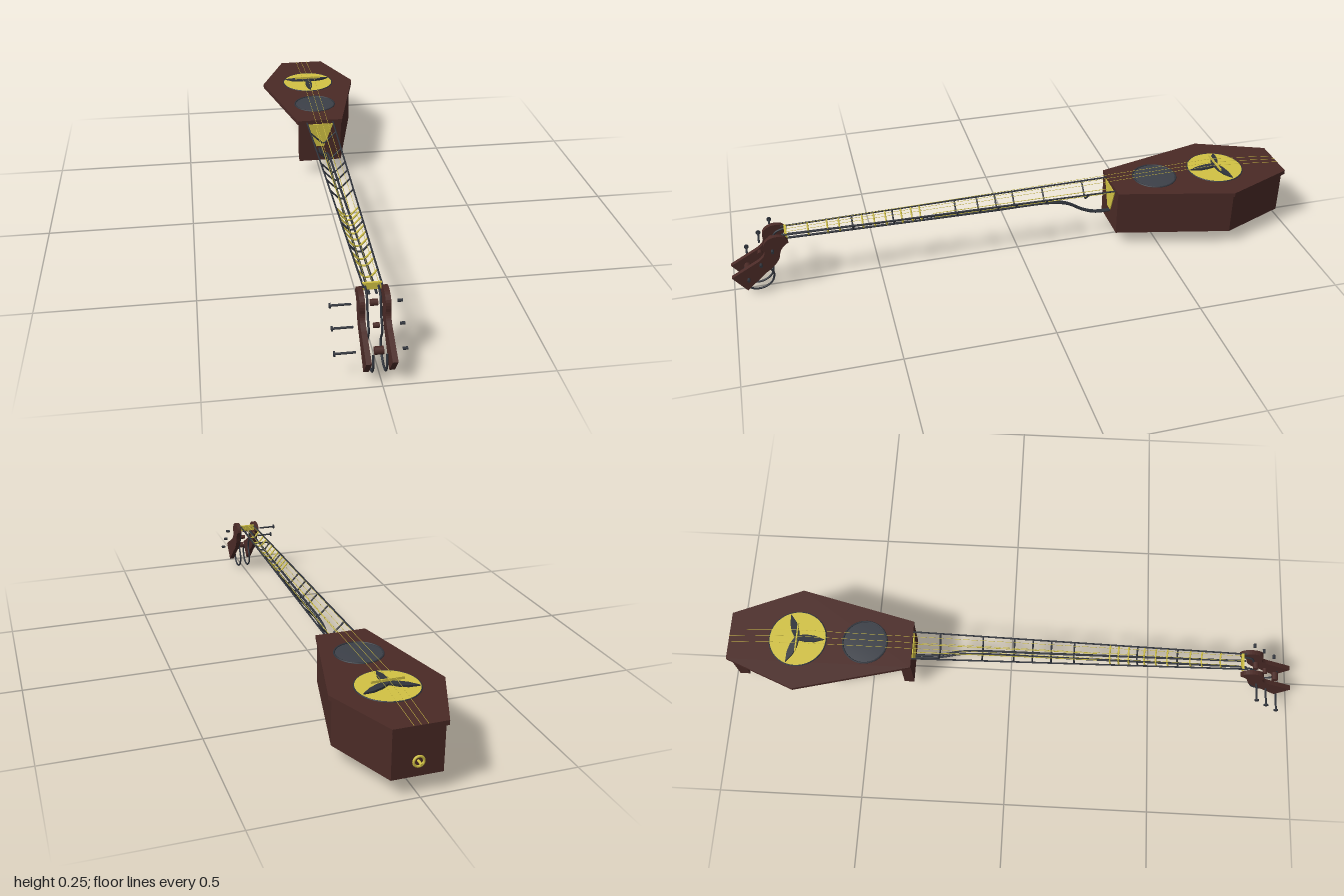
import * as THREE from 'three';

const mat = (color) => new THREE.MeshStandardMaterial({ color, side: THREE.DoubleSide });
const WOOD = mat(0x4a2a26), BRASS = mat(0xd2c244), IRON = mat(0x30343c), GRILLE = mat(0x3c4048);
const V = (x, y, z) => new THREE.Vector3(x, y, z);

export function createModel() {
  const root = new THREE.Group();
  const add = (name, geo, material, x = 0, y = 0, z = 0) => {
    const m = new THREE.Mesh(geo, material);
    m.name = name;
    m.position.set(x, y, z);
    root.add(m);
    return m;
  };
  const box = (name, material, w, h, d, x, y, z) =>
    add(name, new THREE.BoxGeometry(w, h, d), material, x, y, z);
  // Straight round bar between two points
  const rod = (name, material, a, b, r, sides = 8) => {
    const m = add(name, new THREE.CylinderGeometry(r, r, a.distanceTo(b), sides), material);
    m.position.copy(a).lerp(b, 0.5);
    m.quaternion.setFromUnitVectors(V(0, 1, 0), b.clone().sub(a).normalize());
    return m;
  };
  const tube = (name, material, pts, r) =>
    add(name, new THREE.TubeGeometry(new THREE.CatmullRomCurve3(pts), 60, r, 8), material);
  const shapeOf = (pts) => new THREE.Shape(pts.map(([a, b]) => new THREE.Vector2(a, b)));
  const extrude = (shape, depth) => new THREE.ExtrudeGeometry(shape, { depth, bevelEnabled: false, curveSegments: 8 });
  const lathe = (pts) => new THREE.LatheGeometry(pts.map(([r, y]) => new THREE.Vector2(r, y)), 40);

  // Six-sided top board
  const outline = [[-0.085, 0.345], [0.085, 0.345], [0.183, 0.745], [0.085, 0.985], [-0.085, 0.985], [-0.183, 0.745]];
  add('topBoard', extrude(shapeOf(outline), 0.015).rotateX(-Math.PI / 2), WOOD, 0, 0.207, 0);

  // End blocks, and an angled wall on the left side only
  box('frontPanel', WOOD, 0.16, 0.152, 0.035, 0, 0.131, -0.3625);
  box('backPanel', WOOD, 0.16, 0.152, 0.035, 0, 0.131, -0.9575);
  const wall = [[0.08, 0.345], [0.173, 0.745], [0.08, 0.975], [0.055, 0.945], [0.138, 0.743], [0.05, 0.37]];
  add('sideWall', extrude(shapeOf(wall), 0.152).rotateX(-Math.PI / 2), WOOD, 0, 0.055, 0);

  // Brass plate on the front block
  const plate = shapeOf([[-0.05, 0.207], [0.05, 0.207], [0.015, 0.115], [-0.015, 0.115]]);
  add('frontPlate', extrude(plate, 0.003), BRASS, 0, 0, -0.345);

  // Brass disc with a three-bladed dark star
  add('brassDisc', new THREE.CylinderGeometry(0.098, 0.098, 0.003, 48), BRASS, 0, 0.2225, -0.745);
  const ring = (name, r, t, z) => add(name, new THREE.TorusGeometry(r, t, 8, 48).rotateX(Math.PI / 2), IRON, 0, 0.222, z);
  ring('discRim', 0.099, 0.0025, -0.745);
  const blade = shapeOf([[0, -0.008], [0.03, -0.013], [0.06, -0.011], [0.094, 0],
    [0.06, 0.011], [0.03, 0.013], [0, 0.008]]);
  for (const angle of [-90, 20, 160]) {
    const geo = extrude(blade, 0.007);
    // The blades slope down towards the rim
    const p = geo.attributes.position;
    for (let i = 0; i < p.count; i++) p.setZ(i, p.getZ(i) + 0.004 * (1 - p.getX(i) / 0.05));
    geo.rotateZ(THREE.MathUtils.degToRad(angle)).rotateX(-Math.PI / 2);
    geo.computeVertexNormals();
    add('starBlade', geo, IRON, 0, 0.225, -0.745);
  }
  box('bridge', BRASS, 0.105, 0.008, 0.004, 0, 0.242, -0.745);

  // Round grille with a brass bowl below it
  add('grille', lathe([[0.076, 0], [0.05, 0.002], [0.02, 0.003], [0, 0.003]]), GRILLE, 0, 0.222, -0.51);
  ring('grilleRim', 0.077, 0.003, -0.51);
  add('bowl', lathe([[0, 0.102], [0.03, 0.105], [0.052, 0.117], [0.068, 0.145], [0.078, 0.19], [0.092, 0.206]]),
    BRASS, 0, 0, -0.51);

  // Inner bar and strap button
  rod('innerBar', IRON, V(0, 0.11, -0.36), V(0, 0.11, -0.96), 0.005);
  rod('buttonStem', BRASS, V(0, 0.105, -0.97), V(0, 0.105, -1), 0.004);
  add('buttonRing', new THREE.TorusGeometry(0.016, 0.004, 8, 24), BRASS, 0, 0.105, -0.98);

  // Open neck: two upper rails over a paired spine that closes up at the body
  const railX = (z) => 0.028 + (0.8 - z) * 0.019;
  const spineX = (z) => 0.004 + (z + 0.35) * 0.006;
  const spineY = (z) => 0.19 - (0.8 - z) * 0.018;
  for (const s of [-1, 1]) {
    rod('upperRail', IRON, V(s * railX(-0.345), 0.213, -0.345), V(s * railX(0.82), 0.213, 0.82), 0.003);
    tube('lowerSpine', IRON, [[0.105, -0.35], [0.107, -0.29], [0.125, -0.24], [0.158, -0.185], [0.173, -0.12],
      [0.177, 0.1], [0.183, 0.45], [0.19, 0.82]].map(([y, z]) => V(s * spineX(z), y, z)), 0.004);
    rod('trussRod', BRASS, V(s * 0.015, 0.185, -0.35), V(s * 0.012, 0.188, 0.3), 0.0013, 6);
  }
  // Bent rungs dipping from the rails to the spine
  const rung = (z, material, r) => {
    const w = railX(z), c = spineX(z), y = spineY(z);
    rod('rungBottom', material, V(-c, y, z), V(c, y, z), r, 6);
    for (const s of [-1, 1]) rod('rungArm', material, V(s * w, 0.213, z), V(s * c, y, z), r, 6);
  };
  for (const z of [-0.25, -0.1, 0.01, 0.075, 0.14, 0.22, 0.44, 0.58]) rung(z, IRON, 0.003);
  for (const z of [0.345, 0.375, 0.41, 0.465, 0.505, 0.545, 0.625, 0.665, 0.73]) rung(z, BRASS, 0.003);
  box('nut', BRASS, 0.056, 0.022, 0.008, 0, 0.207, 0.805);

  // Strings over the bridge to the tail
  for (const x of [-0.018, 0, 0.018]) {
    rod('string', BRASS, V(x, 0.219, 0.805), V(x * 1.3, 0.247, -0.745), 0.0007, 5);
    rod('tailString', BRASS, V(x * 1.3, 0.247, -0.745), V(x * 1.2, 0.223, -0.985), 0.0007, 5);
  }

  // Curved headstock cheeks
  const cheek = new THREE.Shape();
  cheek.moveTo(0.8, 0.19);
  cheek.quadraticCurveTo(0.805, 0.222, 0.845, 0.218);
  cheek.quadraticCurveTo(0.89, 0.21, 0.882, 0.165);
  cheek.quadraticCurveTo(0.882, 0.14, 0.92, 0.122);
  cheek.lineTo(1, 0.078);
  cheek.lineTo(0.955, 0.02);
  cheek.lineTo(0.885, 0.082);
  cheek.quadraticCurveTo(0.835, 0.115, 0.832, 0.15);
  cheek.quadraticCurveTo(0.825, 0.178, 0.8, 0.19);
  for (const x of [-0.032, 0.042]) add('headstockCheek', extrude(cheek, 0.016).rotateY(-Math.PI / 2), WOOD, x, 0, 0);

  // Inner rods ending in a loop below the headstock
  for (const x of [-0.021, 0.018]) {
    tube('loopRod', IRON, [[0.21, 0.8], [0.195, 0.84], [0.14, 0.86], [0.1, 0.88], [0.06, 0.862], [0.025, 0.873],
      [0.005, 0.91], [0.012, 0.945], [0.045, 0.962], [0.075, 0.955]].map(([y, z]) => V(x, y, z)), 0.0035);
  }

  // Three tuners: shaft with knob, far end and string barrel
  for (const [y, z, r] of [[0.183, 0.855, 0.01], [0.135, 0.898, 0.008], [0.083, 0.945, 0.012]]) {
    rod('tunerShaft', IRON, V(-0.13, y, z), V(-0.068, y, z), 0.0035);
    rod('tunerKnob', IRON, V(-0.131, y, z), V(-0.126, y, z), 0.008, 12);
    rod('tunerEnd', IRON, V(0.065, y, z), V(0.079, y, z), 0.005, 10);
    rod('stringBarrel', WOOD, V(-0.003 - 1.1 * r, y, z), V(-0.003 + 1.1 * r, y, z), r, 12);
  }
  return root;
}
